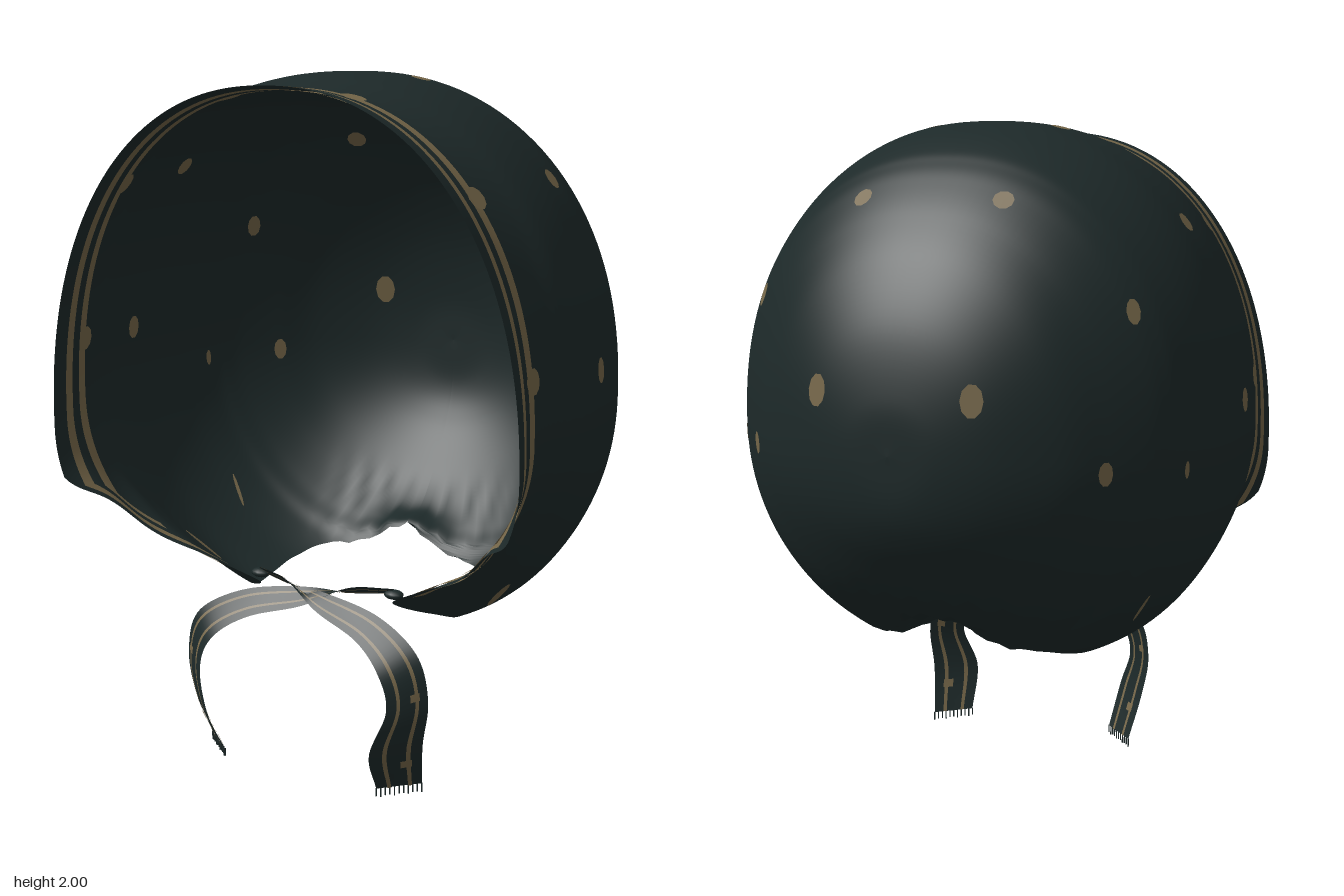
import * as THREE from 'three';

const V = (x, y, z) => new THREE.Vector3(x, y, z);
const fabric = new THREE.MeshStandardMaterial({ color: 0x1d2929, side: THREE.DoubleSide });
fabric.name = 'dark green fabric';
const gold = new THREE.MeshStandardMaterial({ color: 0x766749, side: THREE.DoubleSide });
gold.name = 'dull gold print';

// Cross-sections from back to front: z, top, bottom, half width, widest height, half gap at the bottom
const stations = [
  [-0.6, 1.12, 1.12, 0, 1.12, 0], [-0.592, 1.27, 0.97, 0.14, 1.12, 0],
  [-0.55, 1.45, 0.86, 0.29, 1.12, 0], [-0.47, 1.62, 0.74, 0.44, 1.12, 0],
  [-0.38, 1.75, 0.62, 0.545, 1.12, 0], [-0.3, 1.84, 0.54, 0.625, 1.12, 0],
  [-0.25, 1.885, 0.5, 0.665, 1.12, 0], [-0.2, 1.92, 0.46, 0.695, 1.11, 0.24],
  [-0.1, 1.967, 0.41, 0.735, 1.1, 0.32], [0, 1.995, 0.38, 0.757, 1.1, 0.34],
  [0.1, 2, 0.37, 0.763, 1.1, 0.34], [0.2, 1.998, 0.42, 0.763, 1.1, 0.31],
  [0.3, 1.988, 0.5, 0.75, 1.1, 0.22], [0.38, 1.973, 0.54, 0.72, 1.1, 0.36],
  [0.45, 1.96, 0.53, 0.705, 1.09, 0.5], [0.52, 1.96, 0.56, 0.703, 1.05, 0.6],
  [0.598, 1.97, 0.5, 0.717, 1, 0.69],
];
const spline = (pts) => new THREE.CatmullRomCurve3(pts, false, 'catmullrom', 0.5);
const heights = spline(stations.map((s) => V(s[0], s[1], s[2])));
const widths = spline(stations.map((s) => V(s[3], s[4], s[5])));
const UPPER = 2.2, LOWER = 2.1; // squareness of the upper and lower halves

// Largest angle from the top before the fabric ends at the face or neck edge
function edgeAngle(t) {
  const w = widths.getPoint(t);
  if (w.x < 0.01 || w.z <= 0) return Math.PI;
  return Math.PI - Math.asin(Math.min(1, Math.pow(w.z / w.x, LOWER / 2)));
}

// Point on the hood at t (back to front) and angle a (0 is the top)
function hood(t, a) {
  const h = heights.getPoint(t), w = widths.getPoint(t);
  const c = Math.cos(a), s = Math.abs(Math.sin(a));
  const n = c < 0 ? LOWER : UPPER;
  const x = Math.sign(a) * Math.max(0, w.x) * Math.pow(s, 2 / n);
  if (c >= 0) return V(x, w.y + (h.y - w.y) * Math.pow(c, 2 / n), h.x);
  let y = w.y - (w.y - h.z) * Math.pow(-c, 2 / n);
  // raised nape with pleats running to the neck edge
  y += 0.07 * Math.exp(-((x / 0.12) ** 2) - ((h.x + 0.25) / 0.07) ** 2);
  const nape = Math.exp(-((x / 0.27) ** 4) - ((h.x + 0.3) / 0.11) ** 4);
  y += nape * Math.pow(-c, 3) * (0.015 + 0.009 * Math.sin(75 * x));
  return V(x, y, h.x);
}

function hoodNormal(t, a) {
  const e = 0.004;
  const du = hood(Math.min(1, t + e), a).sub(hood(Math.max(0, t - e), a));
  const dv = hood(t, a + e).sub(hood(t, a - e));
  const n = du.cross(dv).normalize();
  return n.dot(hood(t, a).sub(V(0, 1.2, 0.1))) < 0 ? n.negate() : n;
}
const raised = (t, a, off) => hood(t, a).addScaledVector(hoodNormal(t, a), off);

function tAtZ(z) {
  let lo = 0, hi = 1;
  for (let i = 0; i < 30; i++) {
    const m = (lo + hi) / 2;
    if (heights.getPoint(m).x < z) lo = m; else hi = m;
  }
  return lo;
}

// Sheet through fn(u, v), both running 0 to 1
function sheet(nu, nv, fn) {
  const pos = [], idx = [];
  for (let i = 0; i <= nu; i++) {
    for (let j = 0; j <= nv; j++) {
      pos.push(...fn(i / nu, j / nv).toArray());
      if (i < nu && j < nv) {
        const a = i * (nv + 1) + j, b = a + nv + 1;
        idx.push(a, a + 1, b, b, a + 1, b + 1);
      }
    }
  }
  const g = new THREE.BufferGeometry();
  g.setAttribute('position', new THREE.Float32BufferAttribute(pos, 3));
  g.setIndex(idx);
  g.computeVertexNormals();
  return g;
}

export function createModel() {
  const model = new THREE.Group();
  model.name = 'bonnet';
  const add = (name, geo, mat) => {
    const m = new THREE.Mesh(geo, mat);
    m.name = name;
    model.add(m);
    return m;
  };

  add('hood', sheet(130, 130, (u, v) => hood(u, (2 * v - 1) * edgeAngle(u))), fabric);

  // Printed stripes on both faces of the fabric
  for (const off of [0.004, -0.004]) {
    for (const [z0, z1, reach] of [[0.472, 0.502, 0.945], [0.53, 0.555, 0.985]]) {
      const t0 = tAtZ(z0), t1 = tAtZ(z1);
      add('brimStripe', sheet(2, 110, (u, v) => {
        const t = t0 + (t1 - t0) * u;
        return raised(t, (2 * v - 1) * reach * edgeAngle(t), off);
      }), gold);
    }
    for (const side of [-1, 1]) {
      for (const [zLow, zTop, s0, s1] of [[0.4, 0.5, 0.93, 0.945], [0.34, 0.55, 0.964, 0.985]]) {
        const t0 = tAtZ(zLow), t1 = tAtZ(zTop);
        add('cheekStripe', sheet(24, 2, (u, v) => {
          const t = t0 + (t1 - t0) * u;
          return raised(t, side * (s0 + (s1 - s0) * v) * edgeAngle(t), off);
        }), gold);
      }
    }
  }

  // Printed dots: x, y, z, half width, half height
  const dots = [
    [0.22, 1.81, -0.32, 0.03, 0.03], [0.585, 1.51, -0.28, 0.021, 0.036],
    [0.2, 1.97, 0.1, 0.029, 0.029], [0.59, 1.72, 0.09, 0.029, 0.031],
    [0.76, 1.22, 0.14, 0.025, 0.036], [0.52, 1.08, -0.385, 0.021, 0.034],
    [0.23, 1.28, -0.56, 0.032, 0.046], [0.7, 1.07, -0.19, 0.009, 0.025],
    [0.19, 1.94, 0.472, 0.034, 0.034], [0.54, 1.7, 0.472, 0.034, 0.034],
    [0.7, 1.24, 0.472, 0.034, 0.036], [0.5, 0.55, 0.18, 0.014, 0.075],
    [0.57, 0.64, -0.13, 0.006, 0.06],
  ];
  for (const [x, y, z, rw, rh] of dots) {
    const t = tAtZ(z);
    let best = 0, dist = 9;
    for (let i = 1; i < 400; i++) {
      const a = (i / 400) * edgeAngle(t), p = hood(t, a);
      const d = Math.hypot(p.x - x, p.y - y);
      if (d < dist) { dist = d; best = a; }
    }
    for (const side of [-1, 1]) {
      const n = hoodNormal(t, side * best);
      const across = V(0, 1, 0).cross(n).normalize();
      const up = n.clone().cross(across);
      for (const off of [0.0045, -0.0045]) {
        const m = add('dot', new THREE.CircleGeometry(1, 10), gold);
        m.geometry.applyMatrix4(new THREE.Matrix4()
          .makeBasis(across.clone().multiplyScalar(rw), up.clone().multiplyScalar(rh), n)
          .setPosition(raised(t, side * best, off)));
      }
    }
  }

  // Ties: each starts at one cheek, crosses under the chin and hangs on the other side
  const path = spline([V(0.22, 0.555, 0.29), V(0.1, 0.55, 0.33), V(-0.03, 0.525, 0.37), V(-0.2, 0.49, 0.41),
    V(-0.315, 0.42, 0.45), V(-0.35, 0.31, 0.46), V(-0.32, 0.18, 0.472), V(-0.3, 0.045, 0.415)]);
  const half = spline([V(0, 0.01, 0.01), V(0, 0.012, 0.015), V(0.005, -0.022, 0.02), V(0.02, -0.03, 0.03),
    V(0.042, -0.025, 0.035), V(0.045, -0.01, 0.04), V(0.056, -0.005, 0.055), V(0.05, 0, 0.045)]);
  for (const side of [-1, 1]) {
    const drop = side < 0 ? 0.018 : 0;
    const tie = (u, k, off) => {
      const p = path.getPoint(u).addScaledVector(half.getPoint(u), k);
      const n = path.getTangent(u).cross(half.getPoint(u)).normalize();
      p.addScaledVector(n, off);
      return V(p.x * side, p.y - drop * u, p.z + (side < 0 ? 0.012 * Math.sin(u * Math.PI) : 0));
    };
    add('tie', sheet(60, 4, (u, v) => tie(u, 2 * v - 1, 0)), fabric);
    for (const off of [0.003, -0.003]) {
      for (const k of [-0.55, 0.35]) {
        add('tieStripe', sheet(60, 1, (u, v) => tie(u, k + 0.17 * v, off)), gold);
      }
      for (const u0 of [0.68, 0.9]) {
        add('tieDot', sheet(4, 4, (u, v) => tie(u0 + 0.025 * u, -0.6 + 0.45 * v, off * 1.3)), gold);
      }
    }
    // frayed end
    for (let i = 0; i <= 10; i++) {
      const len = 0.024 + 0.004 * (i % 3 === 0 ? 1 : 0);
      const thread = add('fringe', new THREE.BoxGeometry(0.003, len, 0.003), fabric);
      thread.position.copy(tie(1, i / 5 - 1, 0));
      thread.position.y -= len / 2 - 0.001;
    }
    // gathered corner where the tie is sewn on
    const knot = add('tieGather', new THREE.SphereGeometry(1, 12, 8), fabric);
    knot.scale.set(0.03, 0.014, 0.022);
    knot.position.set(0.22 * side, 0.545, 0.29);
  }
  return model;
}
